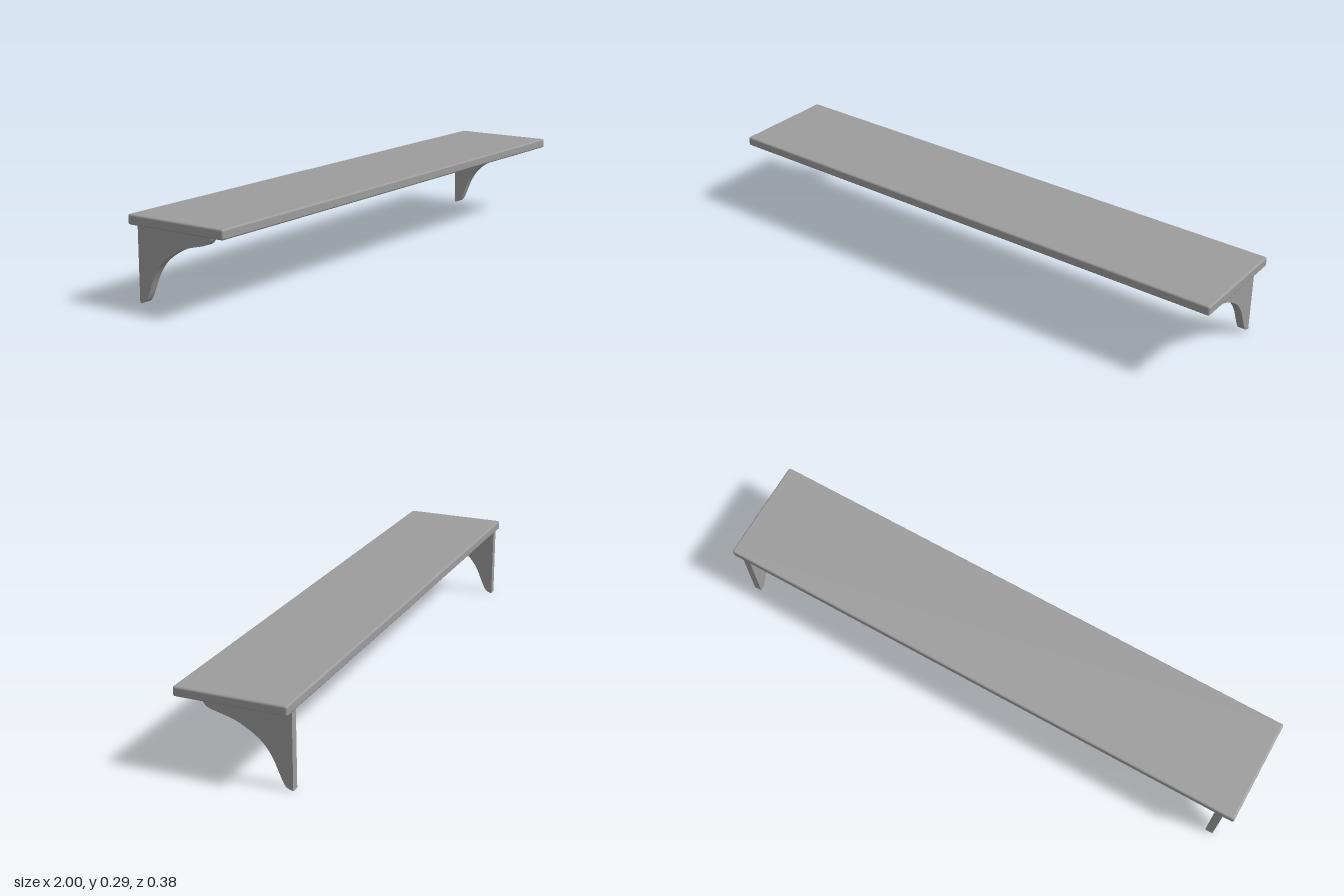
import * as THREE from 'three';
import { RoundedBoxGeometry } from 'three/addons/geometries/RoundedBoxGeometry.js';
import { toCreasedNormals } from 'three/addons/utils/BufferGeometryUtils.js';

const material = new THREE.MeshStandardMaterial({ color: 0x9c9c9c });
const boardBottom = 0.261;
const boardTop = 0.295;
const bracketThickness = 0.028;
const bracketX = 0.947;

// Bracket side profile (z, y): rounded nose, S-curve sweep down to a rounded toe, straight back
function bracketGeometry() {
  const shape = new THREE.Shape();
  shape.moveTo(-0.188, 0);
  shape.lineTo(-0.188, boardBottom + 0.002);
  shape.lineTo(0.116, boardBottom + 0.002);
  shape.splineThru([
    [0.112, 0.247], [0.1, 0.231], [0.08, 0.222], [0.04, 0.212], [0, 0.2],
    [-0.05, 0.174], [-0.09, 0.143], [-0.12, 0.102], [-0.14, 0.058],
    [-0.155, 0.024], [-0.168, 0.007], [-0.188, 0],
  ].map(([z, y]) => new THREE.Vector2(z, y)));
  const geometry = new THREE.ExtrudeGeometry(shape, {
    depth: bracketThickness, bevelEnabled: false, curveSegments: 4,
  });
  geometry.translate(0, 0, -bracketThickness / 2);
  geometry.rotateY(-Math.PI / 2);
  return toCreasedNormals(geometry, 0.6);
}

export function createModel() {
  const group = new THREE.Group();
  group.name = 'wallShelf';

  // Long board with softened edges
  const board = new THREE.Mesh(
    new RoundedBoxGeometry(2, boardTop - boardBottom, 0.384, 3, 0.007), material);
  board.name = 'shelfBoard';
  board.position.y = (boardTop + boardBottom) / 2;
  group.add(board);

  // One bracket near each end
  const geometry = bracketGeometry();
  for (const side of [-1, 1]) {
    const bracket = new THREE.Mesh(geometry, material);
    bracket.name = side > 0 ? 'leftBracket' : 'rightBracket';
    bracket.position.x = side * bracketX;
    group.add(bracket);
  }
  return group;
}
